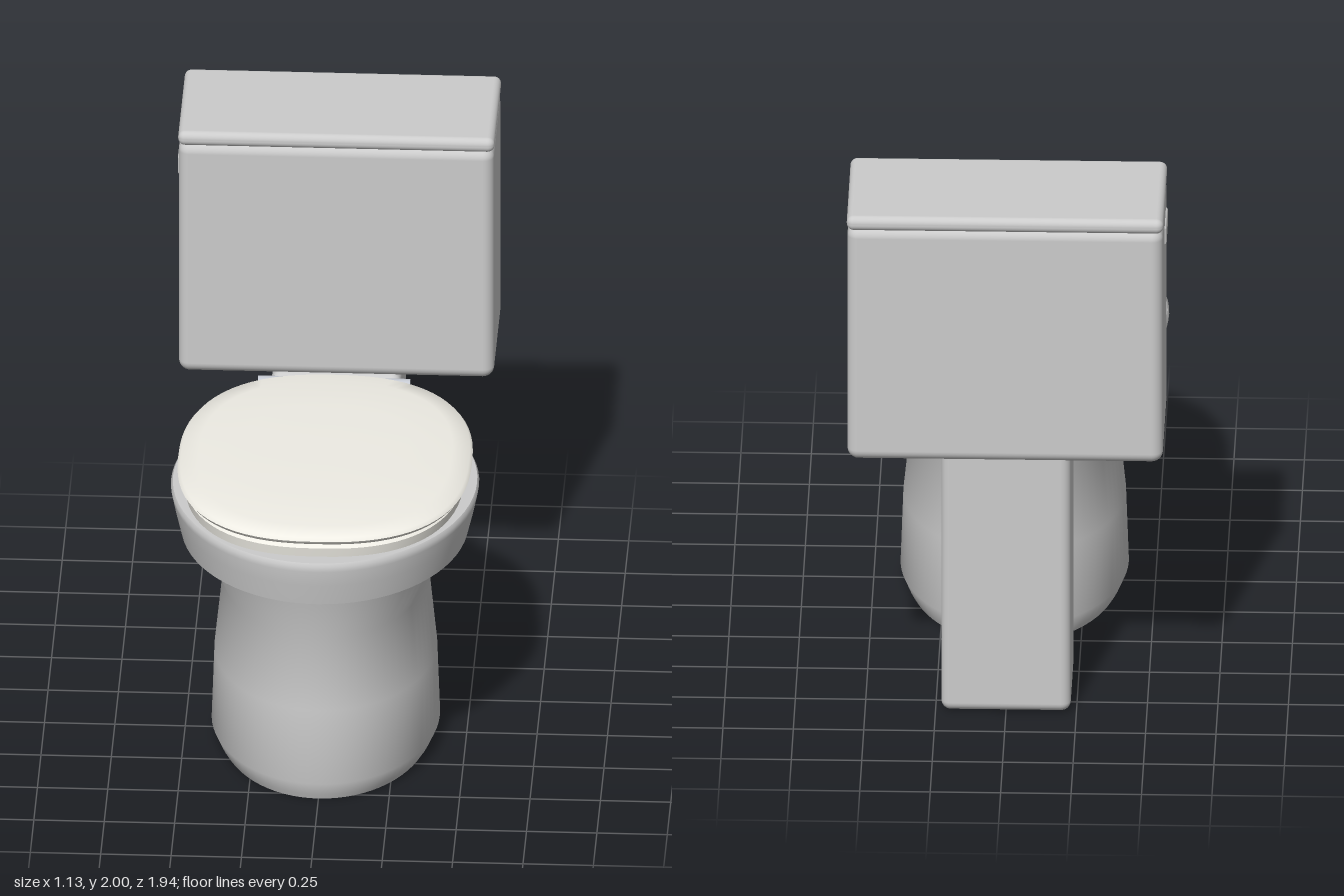
import * as THREE from 'three';
import { toCreasedNormals } from 'three/addons/utils/BufferGeometryUtils.js';
import { RoundedBoxGeometry } from 'three/addons/geometries/RoundedBoxGeometry.js';

const SEGMENTS = 72;

// Closed loft through oval rings [y, halfWidth, frontZ, backZ]; power 2 is an
// ellipse, higher is squarer. Both ends are capped.
function oval(rings, power = 2) {
  const pos = [], index = [];
  const bend = (v) => Math.sign(v) * Math.abs(v) ** (2 / power);
  for (const [y, w, front, back] of rings) {
    for (let i = 0; i < SEGMENTS; i++) {
      const a = (i / SEGMENTS) * Math.PI * 2;
      pos.push(w * bend(Math.sin(a)), y, (front + back) / 2 + ((front - back) / 2) * bend(Math.cos(a)));
    }
  }
  const last = (rings.length - 1) * SEGMENTS;
  const bottom = pos.length / 3, top = bottom + 1;
  for (const [y, , front, back] of [rings[0], rings[rings.length - 1]]) pos.push(0, y, (front + back) / 2);
  for (let i = 0; i < SEGMENTS; i++) {
    const j = (i + 1) % SEGMENTS;
    for (let r = 0; r < last; r += SEGMENTS) {
      index.push(r + i, r + j, r + SEGMENTS + j, r + i, r + SEGMENTS + j, r + SEGMENTS + i);
    }
    index.push(bottom, j, i, top, last + i, last + j);
  }
  const geo = new THREE.BufferGeometry();
  geo.setAttribute('position', new THREE.Float32BufferAttribute(pos, 3));
  geo.setIndex(index);
  return toCreasedNormals(geo, 0.8);
}

// Rounded box from its minimum and maximum corners
function block([x0, y0, z0], [x1, y1, z1], radius) {
  return new RoundedBoxGeometry(x1 - x0, y1 - y0, z1 - z0, 4, radius)
    .translate((x0 + x1) / 2, (y0 + y1) / 2, (z0 + z1) / 2);
}

export function createModel() {
  const group = new THREE.Group();
  const ceramic = new THREE.MeshStandardMaterial({ color: 0xcccccc });
  const seatMaterial = new THREE.MeshStandardMaterial({ color: 0xeeece4 });
  const metal = new THREE.MeshStandardMaterial({ color: 0xc8ccd4 });
  const add = (name, geo, material = ceramic) => {
    const mesh = new THREE.Mesh(geo, material);
    mesh.name = name;
    group.add(mesh);
    return mesh;
  };

  // Bowl: waisted foot flaring up into the rim
  add('bowl', oval([
    [0, 0.37, 0.785, -0.275],
    [0.02, 0.383, 0.793, -0.28],
    [0.07, 0.405, 0.81, -0.29],
    [0.35, 0.395, 0.785, -0.265],
    [0.64, 0.365, 0.785, -0.27],
    [0.86, 0.46, 0.855, -0.325],
    [0.99, 0.515, 0.88, -0.352],
  ]));
  add('rim', oval([
    [0.86, 0.51, 0.945, -0.29],
    [0.94, 0.53, 0.96, -0.322],
    [1.0, 0.543, 0.97, -0.342],
    [1.02, 0.547, 0.97, -0.345],
    [1.032, 0.54, 0.963, -0.338],
  ]));

  // Seat and slightly domed lid
  add('seat', oval([
    [1.03, 0.48, 0.905, -0.295],
    [1.04, 0.495, 0.925, -0.315],
    [1.075, 0.5, 0.93, -0.32],
    [1.09, 0.485, 0.91, -0.3],
  ], 2.45), seatMaterial);
  add('lid', oval([
    [1.085, 0.49, 0.915, -0.305],
    [1.095, 0.512, 0.935, -0.322],
    [1.108, 0.522, 0.943, -0.33],
    [1.12, 0.512, 0.934, -0.322],
    [1.13, 0.45, 0.86, -0.25],
    [1.138, 0.3, 0.67, -0.06],
    [1.141, 0.12, 0.45, 0.16],
  ], 2.45), seatMaterial);

  // Hinges joining the seat to the bowl
  for (const side of [-1, 1]) {
    const barrel = new THREE.CylinderGeometry(0.034, 0.034, 0.09, 24).rotateZ(Math.PI / 2);
    add('hinge', barrel.translate(side * 0.225, 1.07, -0.326), metal);
  }

  // Neck, rear column and water tank
  add('neck', block([-0.225, 0.79, -0.5], [0.225, 1.015, -0.2], 0.03));
  add('column', block([-0.23, 0.005, -0.855], [0.23, 1.045, -0.455], 0.035));
  add('tank', block([-0.56, 1.04, -0.965], [0.56, 1.955, -0.46], 0.04));
  add('tankLid', block([-0.562, 1.945, -0.97], [0.562, 2, -0.458], 0.025));

  // Flush handle on the side of the tank
  add('flushHandle', block([-0.567, 1.785, -0.72], [-0.54, 1.86, -0.55], 0.01));

  return group;
}
